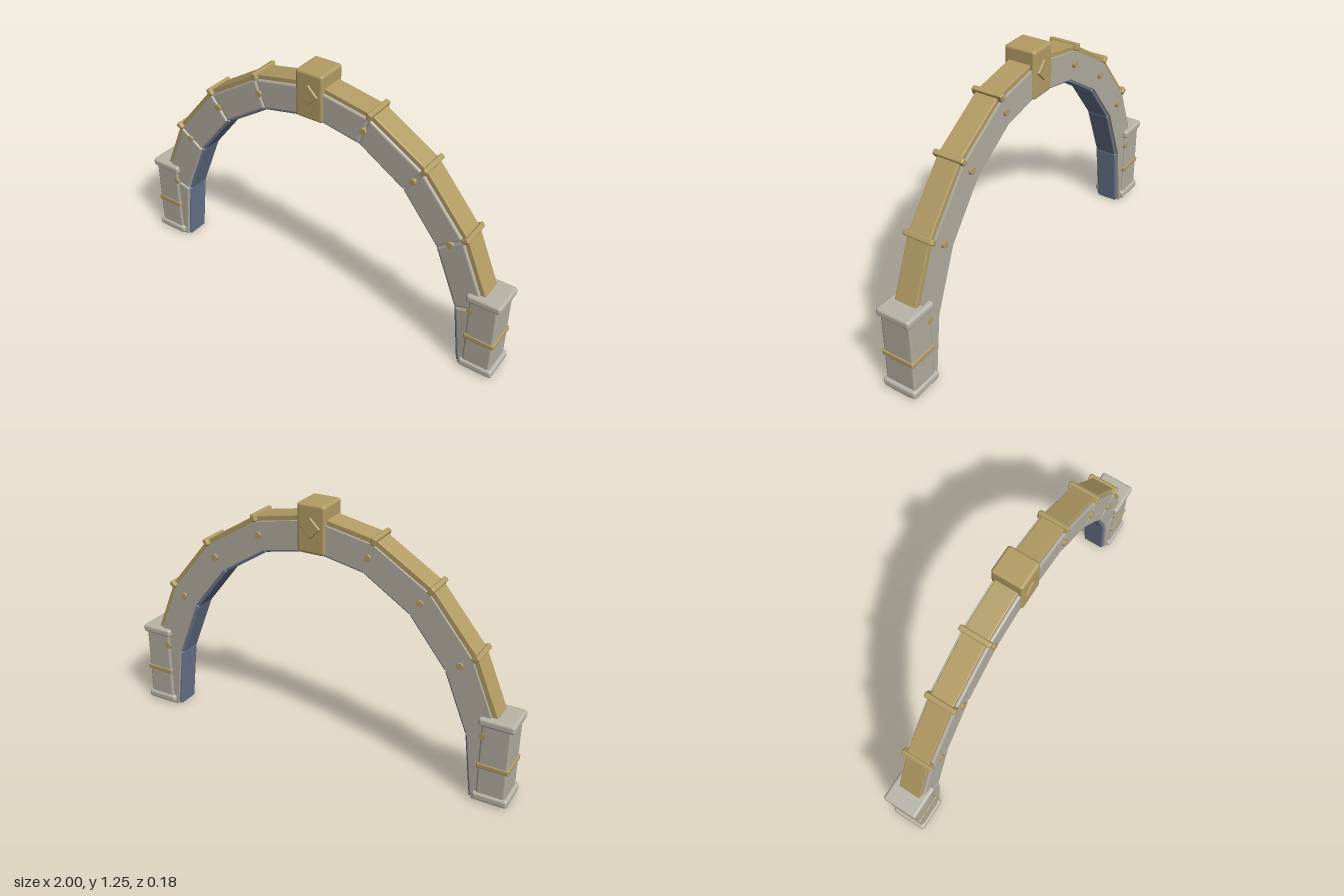
import * as THREE from 'three';
import { RoundedBoxGeometry } from 'three/addons/geometries/RoundedBoxGeometry.js';

const SEGMENTS = 5; // voussoirs on each side of the keystone
const STEP = Math.PI / 2 / SEGMENTS;
const INNER = [0.81, 1.025];
const OUTER = [0.99, 1.2];

const material = (name, color) => {
  const m = new THREE.MeshStandardMaterial({ color });
  m.name = name;
  return m;
};

// Point on the arch ellipse; inset runs outward from the inner curve
const archPoint = (inset, angle, side) => new THREE.Vector2(
  side * (INNER[0] + inset) * Math.cos(angle),
  (INNER[1] + inset * (OUTER[1] - INNER[1]) / (OUTER[0] - INNER[0])) * Math.sin(angle));

// Bevelled extrusion between two depths
function slab(points, z0, z1, bevel) {
  const geo = new THREE.ExtrudeGeometry(new THREE.Shape(points), {
    depth: z1 - z0 - 2 * bevel, bevelEnabled: bevel > 0, bevelThickness: bevel,
    bevelSize: bevel, bevelOffset: -bevel, bevelSegments: 2,
  });
  return geo.translate(0, 0, z0 + bevel);
}

// One straight segment of the arch between two insets
function segment(i, side, from, to, z0, z1, bevel, gap = 0) {
  const a = i * STEP + (i ? gap : 0), b = (i + 1) * STEP - gap;
  return slab([archPoint(from, a, side), archPoint(to, a, side),
    archPoint(to, b, side), archPoint(from, b, side)], z0, z1, bevel);
}

export function createModel() {
  const model = new THREE.Group();
  model.name = 'archway';
  const stone = material('stone', 0xb2aca0);
  const paleStone = material('pale stone', 0xb8b4a7);
  const brass = material('brass', 0xb39c64);
  const slate = material('slate blue', 0x69778e);

  const add = (name, geo, mat, x = 0, y = 0, z = 0, parent = model) => {
    const mesh = new THREE.Mesh(geo, mat);
    mesh.name = name;
    mesh.position.set(x, y, z);
    parent.add(mesh);
    return mesh;
  };
  const block = (w, h, d, r) => new RoundedBoxGeometry(w, h, d, 2, r);

  // Continuous stone core with a plain back face
  const outline = [];
  for (let i = 0; i <= 2 * SEGMENTS; i++) outline.push(archPoint(0.015, i * STEP, 1));
  for (let i = 2 * SEGMENTS; i >= 0; i--) outline.push(archPoint(0.155, i * STEP, 1));
  add('archCore', slab(outline, -0.068, 0.058, 0), stone);

  for (const side of [1, -1]) {
    const half = new THREE.Group();
    half.name = side > 0 ? 'leftHalf' : 'rightHalf';
    model.add(half);

    // Voussoirs, soffit lining and outer trim
    for (let i = 0; i < SEGMENTS; i++) {
      add('voussoir', segment(i, side, 0.012, 0.157, 0.02, 0.069, 0.008, 0.004), stone, 0, 0, 0, half);
      add('soffitPanel', segment(i, side, 0, 0.03, -0.056, 0.056, 0.006, 0.002), slate, 0, 0, 0, half);
      add('outerTrim', segment(i, side, 0.145, 0.18, -0.056, 0.056, 0.004), brass, 0, 0, 0, half);
    }

    // Clips and studs over the joints
    for (let i = 1; i < SEGMENTS; i++) {
      const a = i * STEP;
      const p = archPoint(0.173, a, side);
      const q = archPoint(0.09, a, side);
      if (i > 1) {
        const clip = add('trimClip', block(0.036, 0.026, 0.154, 0.007), brass, p.x, p.y, 0, half);
        clip.rotation.z = side * a;
      }
      const stud = add('jointStud', new THREE.CylinderGeometry(0.016, 0.016, 0.16, 12), brass, q.x, q.y, 0, half);
      stud.rotation.x = Math.PI / 2;
    }

    // Pier with base, cap and brass band
    const pier = new THREE.Group();
    pier.name = 'pier';
    pier.position.x = side * 0.916;
    half.add(pier);
    add('pierBody', block(0.138, 0.39, 0.158, 0.012), stone, 0, 0.225, 0, pier);
    add('pierBase', block(0.168, 0.042, 0.177, 0.014), paleStone, 0, 0.029, 0, pier);
    add('pierCap', block(0.168, 0.042, 0.177, 0.014), paleStone, 0, 0.417, 0, pier);
    add('pierBand', block(0.15, 0.026, 0.166, 0.006), brass, 0, 0.193, 0, pier);
  }

  // Keystone with a raised diamond on both faces
  add('keystone', block(0.142, 0.232, 0.156, 0.014), brass, 0, 1.136, 0);
  const diamond = add('keystoneDiamond', block(0.072, 0.072, 0.174, 0.005), brass, 0, 1.145, 0);
  diamond.rotation.z = Math.PI / 4;

  return model;
}
